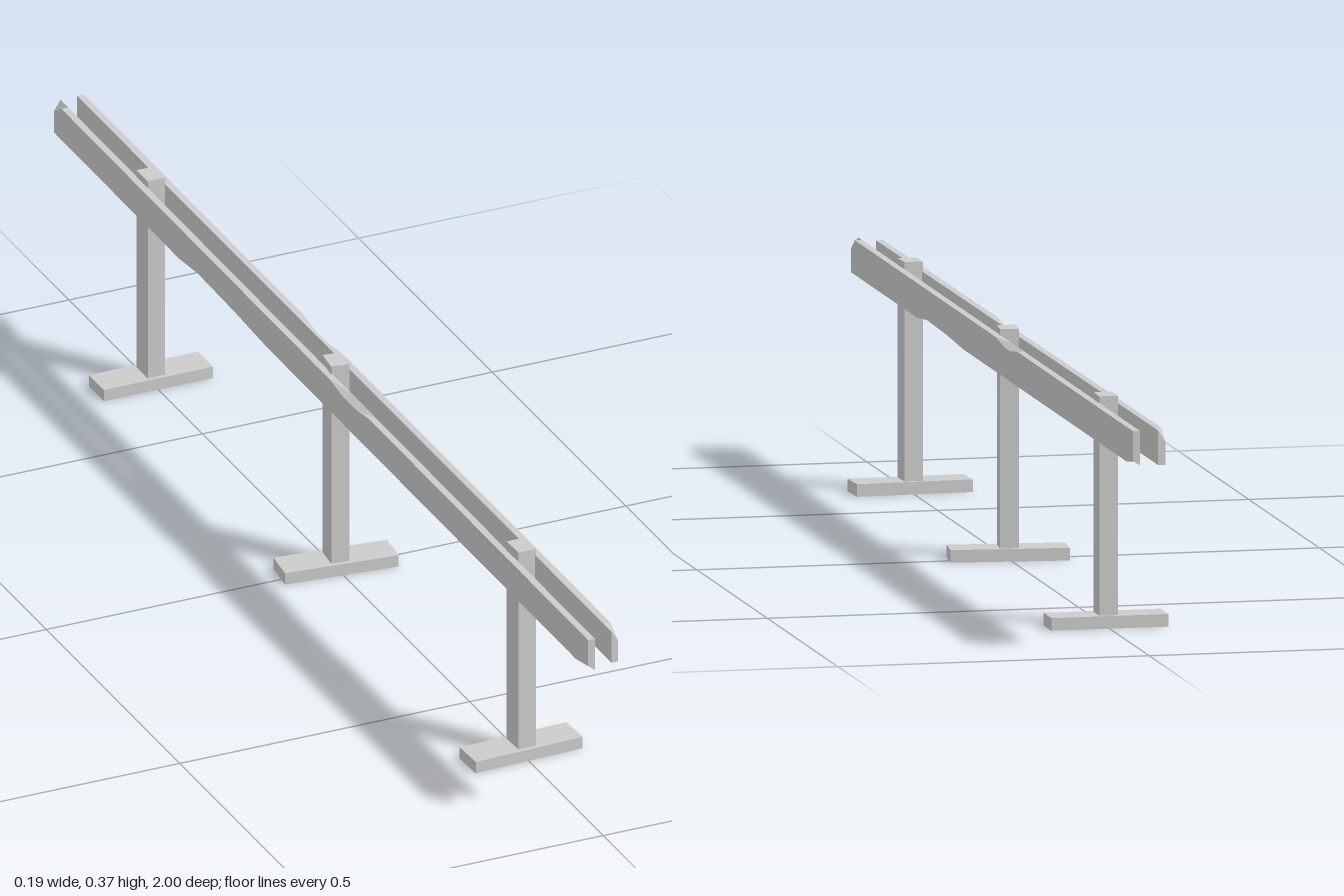
import * as THREE from 'three';

const material = new THREE.MeshStandardMaterial({ color: 0xcccccc, flatShading: true });

function box(name, w, h, d, y) {
  const mesh = new THREE.Mesh(new THREE.BoxGeometry(w, h, d), material);
  mesh.name = name;
  mesh.position.y = y + h / 2;
  return mesh;
}

// Upright with a flat foot, turned slightly about its own axis
function support(name, z, turn) {
  const group = new THREE.Group();
  group.name = name;
  group.add(box('foot', 0.188, 0.02, 0.056, 0), box('post', 0.03, 0.348, 0.042, 0.02));
  group.position.z = z;
  group.rotation.y = turn;
  return group;
}

// Stations along the plank: z, chip out of the lower outer edge, chip out of the upper outer edge
const stations = [
  [1, 0, 0.018], [0.972, 0, 0], [0.53, 0, 0], [0.46, 0.007, 0], [0.33, 0.005, 0], [0.2, 0, 0],
  [-0.03, 0, 0], [-0.09, 0, 0.007], [-0.13, 0, 0.007], [-0.18, 0, 0],
  [-0.955, 0, 0], [-1, 0.009, 0],
];

// Long board lofted through the stations, with worn outer edges and corners
function plankGeometry(inner, outer, height) {
  const rings = stations.map(([z, low, high]) => [
    [inner, 0, z], [outer, low, z], [outer, height - high, z], [inner, height, z],
  ]);
  const points = [];
  const quad = (a, b, c, d) => points.push(...a, ...b, ...c, ...a, ...c, ...d);
  for (let i = 0; i < rings.length - 1; i++) {
    const p = rings[i], q = rings[i + 1];
    for (let k = 0; k < 4; k++) {
      const n = (k + 1) % 4;
      quad(p[k], q[k], q[n], p[n]);
    }
  }
  const last = rings[rings.length - 1];
  quad(...rings[0]);
  quad(last[3], last[2], last[1], last[0]);
  const geometry = new THREE.BufferGeometry();
  geometry.setAttribute('position', new THREE.Float32BufferAttribute(points, 3));
  geometry.computeVertexNormals();
  return geometry;
}

export function createModel() {
  const model = new THREE.Group();
  model.name = 'railFence';

  model.add(
    support('frontSupport', 0.693, 0.04),
    support('middleSupport', 0, -0.1),
    support('backSupport', -0.693, 0),
  );

  // Same board on both sides, the right one turned end for end and sagging a little
  const geometry = plankGeometry(0.0145, 0.026, 0.055);
  const left = new THREE.Mesh(geometry, material);
  left.name = 'leftPlank';
  left.position.y = 0.302;
  const right = new THREE.Mesh(geometry, material);
  right.name = 'rightPlank';
  right.position.y = 0.299;
  right.rotation.set(0.003, Math.PI, 0);
  model.add(left, right);

  return model;
}
